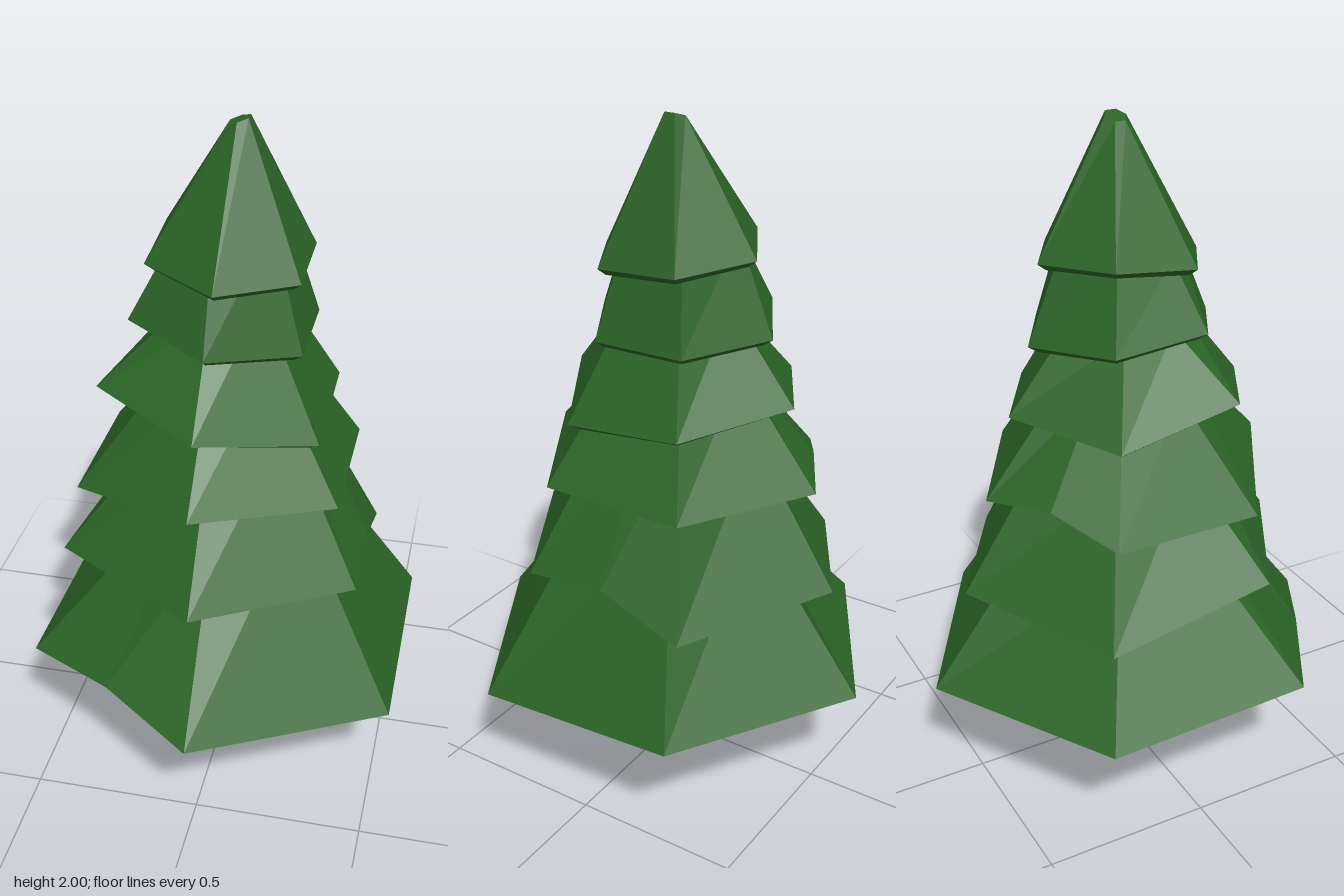
import * as THREE from 'three';

const leafMat = new THREE.MeshStandardMaterial({ color: 0x2b6426, flatShading: true });
const barkMat = new THREE.MeshStandardMaterial({ color: 0x664c3c, flatShading: true });

// Joins rings of [x, y, z] points into one faceted skin; first and last are single points.
function skin(rings, name, material) {
  const pos = [];
  const last = rings.length - 2;
  for (let r = 0; r <= last; r++) {
    const a = rings[r], b = rings[r + 1], n = a.length;
    for (let i = 0; i < n; i++) {
      const j = (i + 1) % n;
      if (r > 0) pos.push(...a[i], ...a[j], ...b[j]);
      if (r < last) pos.push(...a[i], ...b[j], ...b[i]);
    }
  }
  const geo = new THREE.BufferGeometry();
  geo.setAttribute('position', new THREE.Float32BufferAttribute(pos, 3));
  geo.computeVertexNormals();
  const mesh = new THREE.Mesh(geo, material);
  mesh.name = name;
  return mesh;
}

const point = (n, p) => Array.from({ length: n }, () => p);

// Six corners from the front round by +x, each at its own height.
const hexRing = (x, z, r, heights) => heights.map((y, i) => {
  const a = (i * Math.PI) / 3;
  return [x + r * Math.sin(a), y, z + r * Math.cos(a)];
});

// Hollow skirt of needles: ceiling, lower lip, outer rim, narrow top.
function tier({ x, z, r, heights, notch, topY, topScale, lean = 0, ceilY, ceilScale }, name) {
  const rim = hexRing(x, z, r, heights);
  if (notch) {
    // Raised nick halfway along the edge after the given corner
    const p = rim[notch.after], q = rim[(notch.after + 1) % 6];
    const nick = p.map((v, k) => (v + q[k]) / 2);
    nick[1] += notch.rise;
    rim.splice(notch.after + 1, 0, nick);
  }
  const n = rim.length;
  const shrink = (s, y) => rim.map((p) => [x + (p[0] - x) * s, y(p), z + (p[2] - z) * s]);
  // The top leans and tilts slightly to one side
  const top = shrink(topScale, () => topY).map(([px, py, pz]) => [px + lean, py + 0.33 * (px - x), pz]);
  return skin([
    point(n, [x, ceilY, z]),
    shrink(ceilScale, () => ceilY),
    shrink(0.9, (p) => p[1] - 0.02),
    rim,
    top,
    point(n, [x + lean, topY, z]),
  ], name, leafMat);
}

const tiers = [
  { x: 0, z: 0, r: 0.635, heights: [0.34, 0.31, 0.35, 0.34, 0.35, 0.37],
    notch: { after: 5, rise: 0.045 }, topY: 0.82, topScale: 0.42, ceilY: 0.55, ceilScale: 0.6 },
  { x: -0.02, z: -0.02, r: 0.51, heights: [0.7, 0.695, 0.62, 0.66, 0.62, 0.71],
    notch: { after: 1, rise: 0.063 }, topY: 1.08, topScale: 0.46, ceilY: 0.77, ceilScale: 0.65 },
  { x: -0.03, z: -0.01, r: 0.445, heights: [0.995, 0.955, 0.955, 0.955, 0.92, 0.92],
    notch: { after: 3, rise: 0.045 }, topY: 1.28, topScale: 0.42, ceilY: 1.03, ceilScale: 0.65 },
  { x: -0.03, z: -0.005, r: 0.37, heights: [1.2, 1.135, 1.17, 1.2, 1.18, 1.25],
    topY: 1.47, topScale: 0.42, ceilY: 1.27, ceilScale: 0.65 },
  { x: -0.02, z: -0.02, r: 0.285, heights: [1.405, 1.38, 1.385, 1.395, 1.42, 1.44],
    topY: 1.68, topScale: 0.6, ceilY: 1.46, ceilScale: 0.65 },
  { x: 0, z: -0.01, r: 0.25, heights: [1.59, 1.59, 1.605, 1.62, 1.64, 1.61],
    topY: 1.99, topScale: 0.13, lean: 0.02, ceilY: 1.67, ceilScale: 0.65 },
];

export function createModel() {
  const tree = new THREE.Group();
  tree.name = 'pineTree';

  // Bent six-sided trunk
  const level = (y) => Array(6).fill(y);
  tree.add(skin([
    point(6, [0.02, 0, 0]),
    hexRing(0.02, 0, 0.16, level(0)),
    hexRing(0.015, 0.04, 0.12, level(0.27)),
    hexRing(0.01, -0.01, 0.1, level(0.58)),
    point(6, [0.01, 0.58, -0.01]),
  ], 'trunk', barkMat));

  // Stacked branch tiers, from the bottom up
  tiers.forEach((t, i) => tree.add(tier(t, `branchTier${i + 1}`)));
  return tree;
}
